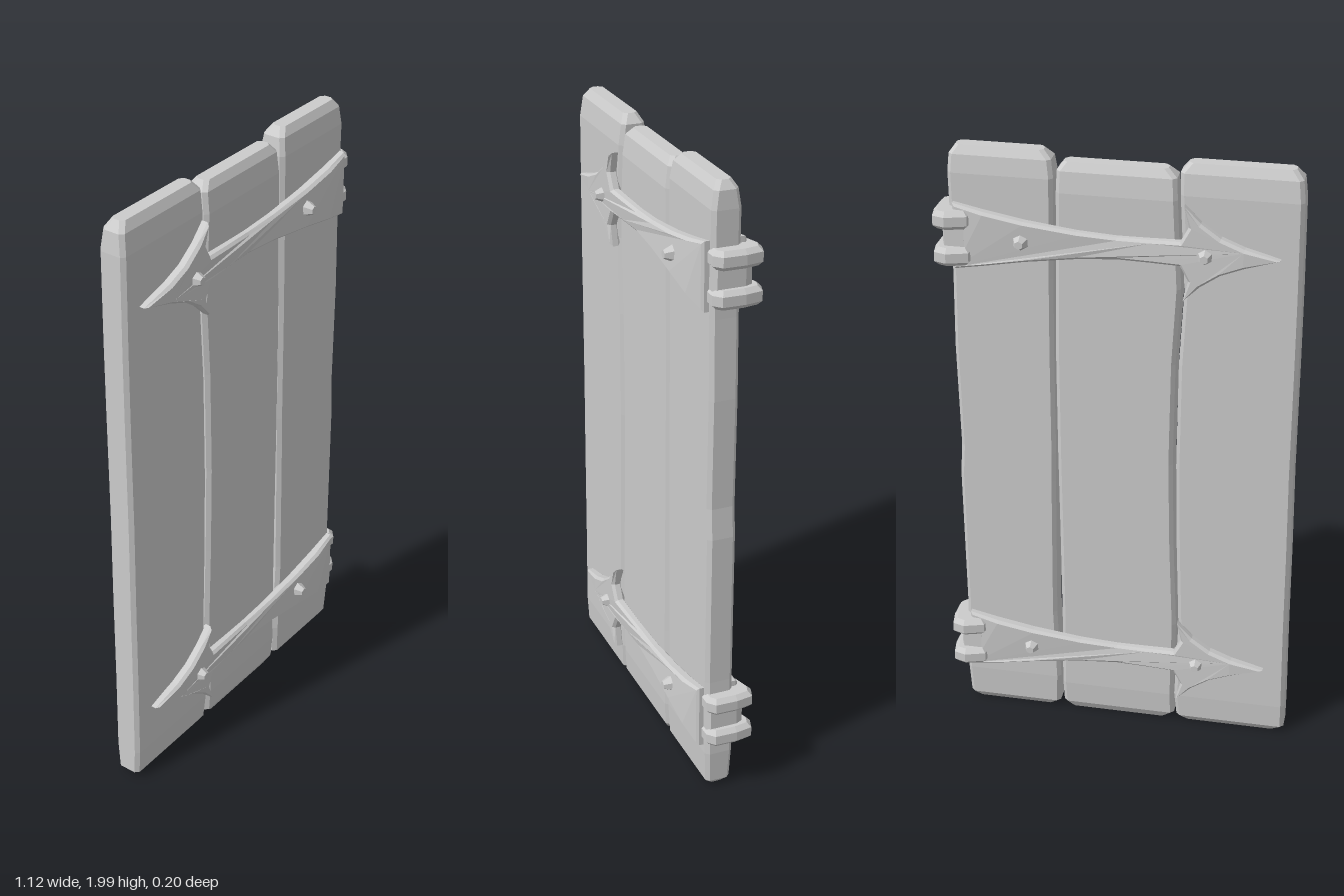
import * as THREE from 'three';

const material = new THREE.MeshStandardMaterial({ color: 0xcccccc, flatShading: true });

function part(name, geometry, parent) {
  const mesh = new THREE.Mesh(geometry, material);
  mesh.name = name;
  parent.add(mesh);
  return mesh;
}

// Plank lofted through eight-sided sections: rows of [y, left x, right x, half depth]
function plankGeometry(rows, c = 0.012) {
  const pos = [], index = [], n = 8;
  for (const [y, l, r, d] of rows) {
    const ring = [[l + c, d], [r - c, d], [r, d - c], [r, c - d], [r - c, -d], [l + c, -d], [l, c - d], [l, d - c]];
    for (const [x, z] of ring) pos.push(x, y, z);
  }
  for (let i = 0; i < rows.length - 1; i++) {
    for (let j = 0; j < n; j++) {
      const a = i * n + j, b = i * n + (j + 1) % n;
      index.push(a, b, b + n, a, b + n, a + n);
    }
  }
  const top = (rows.length - 1) * n;
  for (let j = 1; j < n - 1; j++) {
    index.push(0, j + 1, j);
    index.push(top, top + j, top + j + 1);
  }
  const g = new THREE.BufferGeometry();
  g.setAttribute('position', new THREE.Float32BufferAttribute(pos, 3));
  g.setIndex(index);
  const flat = g.toNonIndexed();
  flat.computeVertexNormals();
  return flat;
}

// Iron strap with a barbed arrow head; its thickness swells at both ends
function strapGeometry() {
  const upper = [[-0.485, 0], [-0.38, 0.03], [-0.31, 0.058], [-0.25, 0.1], [-0.2, 0.15], [-0.215, 0.085],
    [-0.19, 0.038], [-0.1, 0.036], [0, 0.035], [0.12, 0.043], [0.28, 0.064], [0.4, 0.086], [0.495, 0.105]];
  const lower = upper.slice(1).reverse().map(([x, y]) => [x, -y]);
  const shape = new THREE.Shape([...upper, ...lower].map(([x, y]) => new THREE.Vector2(x, y)));
  const g = new THREE.ExtrudeGeometry(shape, {
    depth: 0.02, bevelEnabled: true, bevelSegments: 1, bevelThickness: 0.01, bevelSize: 0.008, bevelOffset: -0.008,
  });
  const p = g.attributes.position;
  for (let i = 0; i < p.count; i++) {
    const x = p.getX(i);
    let t = 0.9 + 0.35 * Math.min(1, Math.abs(x) / 0.3);
    if (x > 0.44) t = 0.95;
    if (x < -0.4) t = 1.0;
    p.setZ(i, 0.038 + (p.getZ(i) + 0.01) * t * 0.8);
  }
  g.computeVertexNormals();
  return g;
}

// Horizontal slab drawn as [x, z] points, centred on its own height
function slabGeometry(points, height, bevel) {
  const shape = new THREE.Shape(points.map(([x, z]) => new THREE.Vector2(x, -z)));
  const g = new THREE.ExtrudeGeometry(shape, {
    depth: height - 2 * bevel, bevelEnabled: true, bevelSegments: 1,
    bevelThickness: bevel, bevelSize: bevel, bevelOffset: -bevel,
  });
  g.translate(0, 0, -height / 2 + bevel);
  g.rotateX(-Math.PI / 2);
  return g;
}

export function createModel() {
  const model = new THREE.Group();
  model.name = 'plankDoor';

  // Three worn planks with slightly bowed sides
  const planks = {
    rightPlank: [[0.012, -0.53, -0.225, 0.025], [0.035, -0.56, -0.198, 0.04], [0.12, -0.56, -0.19, 0.045],
      [0.4, -0.556, -0.2, 0.045], [0.7, -0.554, -0.19, 0.045], [1.0, -0.55, -0.184, 0.045],
      [1.35, -0.55, -0.187, 0.045], [1.6, -0.549, -0.2, 0.045], [1.9, -0.545, -0.184, 0.045],
      [1.965, -0.538, -0.182, 0.037], [1.993, -0.515, -0.205, 0.022]],
    middlePlank: [[0.012, -0.16, 0.165, 0.025], [0.04, -0.19, 0.187, 0.04], [0.12, -0.188, 0.19, 0.045],
      [0.4, -0.192, 0.188, 0.045], [0.7, -0.18, 0.19, 0.045], [1.0, -0.173, 0.193, 0.045],
      [1.35, -0.177, 0.194, 0.045], [1.6, -0.19, 0.19, 0.045], [1.88, -0.176, 0.186, 0.045],
      [1.945, -0.172, 0.184, 0.037], [1.97, -0.145, 0.165, 0.022]],
    leftPlank: [[0.012, 0.225, 0.49, 0.025], [0.035, 0.2, 0.512, 0.04], [0.14, 0.196, 0.517, 0.045],
      [0.4, 0.206, 0.51, 0.045], [0.9, 0.202, 0.513, 0.045], [1.0, 0.2, 0.506, 0.045],
      [1.35, 0.2, 0.512, 0.045], [1.6, 0.198, 0.508, 0.045], [1.92, 0.193, 0.512, 0.045],
      [1.975, 0.2, 0.508, 0.037], [2.0, 0.225, 0.49, 0.022]],
  };
  for (const [name, rows] of Object.entries(planks)) part(name, plankGeometry(rows), model);

  const strap = strapGeometry();
  const rivet = new THREE.CylinderGeometry(0.013, 0.027, 0.03, 6).rotateX(Math.PI / 2);
  const knuckle = slabGeometry([[0.44, -0.06], [0.445, -0.085], [0.51, -0.105], [0.548, -0.093], [0.557, -0.04],
    [0.555, 0.03], [0.53, 0.052], [0.49, 0.052], [0.485, 0.04]], 0.058, 0.014);
  const wrap = slabGeometry([[0.46, -0.072], [0.52, -0.072], [0.53, -0.05], [0.53, 0.036], [0.515, 0.046],
    [0.47, 0.046]], 0.15, 0.008);

  for (const [name, y] of [['upperHinge', 1.727], ['lowerHinge', 0.273]]) {
    const hinge = new THREE.Group();
    hinge.name = name;
    hinge.position.y = y;
    model.add(hinge);

    // Matching strap and rivets on the front and back
    for (const side of ['front', 'back']) {
      const face = new THREE.Group();
      face.name = side + 'Strap';
      if (side === 'back') face.rotation.x = Math.PI;
      hinge.add(face);
      part('strap', strap, face);
      for (const x of [-0.265, 0.287]) {
        part('rivet', rivet, face).position.set(x, 0, 0.083);
      }
    }

    // Plate around the door edge, held by two knuckles
    part('edgeWrap', wrap, hinge);
    for (const s of [-1, 1]) part('knuckle', knuckle, hinge).position.y = s * 0.058;
  }
  return model;
}
